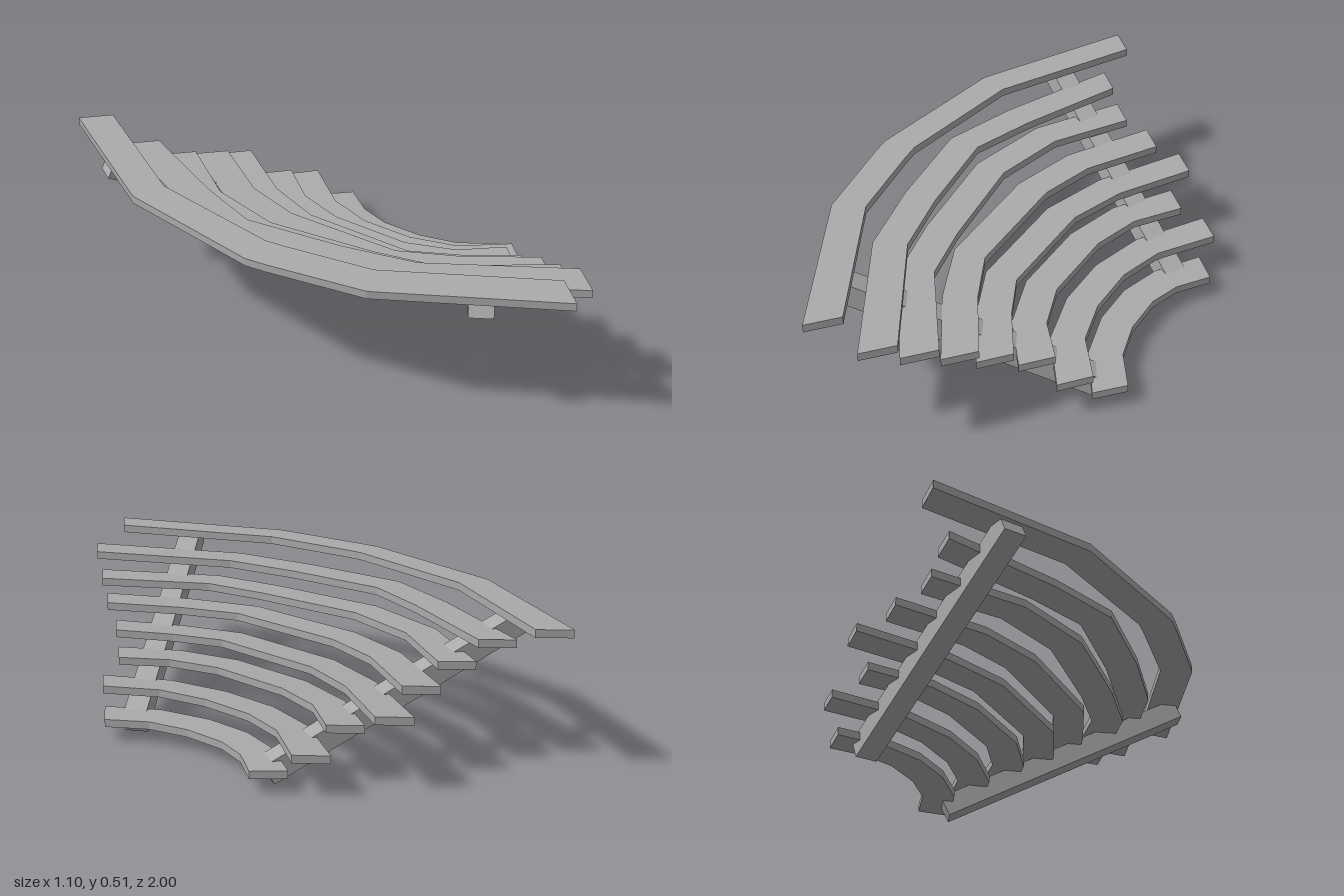
import * as THREE from 'three';

const stone = new THREE.MeshStandardMaterial({ color: 0xaaaaaa, flatShading: true });
stone.name = 'warm grey';

// Offsets from a tread's outer edge to its inner edge: tip, bend, middle
const OFFSETS = [[0.083, 0.088], [0.105, 0.045], [0.114, 0.008]];

// Curved tread: outer edge [x, z] from back to front, top height at the tips, sag in the middle
function makeTread(outer, top, sag, thickness = 0.027) {
  const xs = outer.map(p => p[0]);
  const minX = Math.min(...xs), maxX = Math.max(...xs) + 0.083;
  const height = x => top - sag * (maxX - x) / (maxX - minX);
  const rings = outer.map(([x, z], i) => {
    const [dx, dz] = OFFSETS[Math.min(i, outer.length - 1 - i)];
    const xi = x + dx, zi = z - Math.sign(z) * dz;
    const yo = height(x), yi = height(xi);
    return [[x, yo - thickness, z], [x, yo, z], [xi, yi, zi], [xi, yi - thickness, zi]];
  });
  const pos = [];
  const quad = (a, b, c, d) => pos.push(...a, ...b, ...c, ...a, ...c, ...d);
  for (let i = 0; i < rings.length - 1; i++) {
    for (let k = 0; k < 4; k++) {
      const n = (k + 1) % 4;
      quad(rings[i][k], rings[i + 1][k], rings[i + 1][n], rings[i][n]);
    }
  }
  quad(...rings[0]);
  quad(...rings[rings.length - 1].slice().reverse());
  const geo = new THREE.BufferGeometry();
  geo.setAttribute('position', new THREE.Float32BufferAttribute(pos, 3));
  geo.computeVertexNormals();
  return new THREE.Mesh(geo, stone);
}

// Sloping support beam, side = 1 at the front or -1 at the back
function makeBeam(side) {
  const w = 0.078, h = 0.075;
  const a = new THREE.Vector3(-0.315, 0.44, 0.79 * side);
  const b = new THREE.Vector3(0.435, 0.01, 0.352 * side);
  if (side < 0) { a.z += 0.01; b.z += 0.03; }
  const dir = b.clone().sub(a);
  const length = dir.length();
  dir.normalize();
  const up = new THREE.Vector3(0, 1, 0).addScaledVector(dir, -dir.y).normalize();
  const across = new THREE.Vector3().crossVectors(dir, up);
  const mesh = new THREE.Mesh(new THREE.BoxGeometry(length, h, w), stone);
  mesh.quaternion.setFromRotationMatrix(new THREE.Matrix4().makeBasis(dir, up, across));
  mesh.position.copy(a).add(b).multiplyScalar(0.5)
    .addScaledVector(up, h / 2).addScaledVector(across, -side * w / 2);
  return mesh;
}

export function createModel() {
  const model = new THREE.Group();
  model.name = 'curvedSteps';
  const add = (name, mesh) => { mesh.name = name; model.add(mesh); };

  // Treads from the lowest to the highest
  add('tread1', makeTread([[0.46, -0.4], [0.36, -0.25], [0.315, -0.1], [0.315, 0.07], [0.36, 0.25], [0.465, 0.42]], 0.09, 0.002));
  add('tread2', makeTread([[0.41, -0.53], [0.255, -0.31], [0.197, -0.11], [0.197, 0.1], [0.25, 0.31], [0.385, 0.51]], 0.165, 0.02));
  add('tread3', makeTread([[0.27, -0.55], [0.135, -0.36], [0.075, -0.15], [0.073, 0.16], [0.14, 0.37], [0.27, 0.55]], 0.225, 0.015));
  add('tread4', makeTread([[0.225, -0.705], [0.045, -0.42], [-0.035, -0.18], [-0.035, 0.24], [0.05, 0.44], [0.18, 0.655]], 0.28, 0.018));
  add('tread5', makeTread([[0.09, -0.705], [-0.085, -0.42], [-0.15, -0.18], [-0.143, 0.26], [-0.045, 0.49], [0.12, 0.76]], 0.341, 0.012));
  add('tread6', makeTread([[-0.05, -0.738], [-0.235, -0.45], [-0.303, -0.15], [-0.255, 0.25], [-0.2, 0.5], [0.045, 0.865]], 0.393, 0.014));
  add('tread7', makeTread([[-0.15, -0.82], [-0.33, -0.42], [-0.415, -0.16], [-0.37, 0.2], [-0.305, 0.49], [-0.03, 0.97]], 0.457, 0.013));
  add('tread8', makeTread([[-0.187, -1], [-0.475, -0.49], [-0.555, 0.04], [-0.547, 0.11], [-0.49, 0.45], [-0.2, 1]], 0.518, 0.016));

  add('frontBeam', makeBeam(1));
  add('backBeam', makeBeam(-1));
  return model;
}
